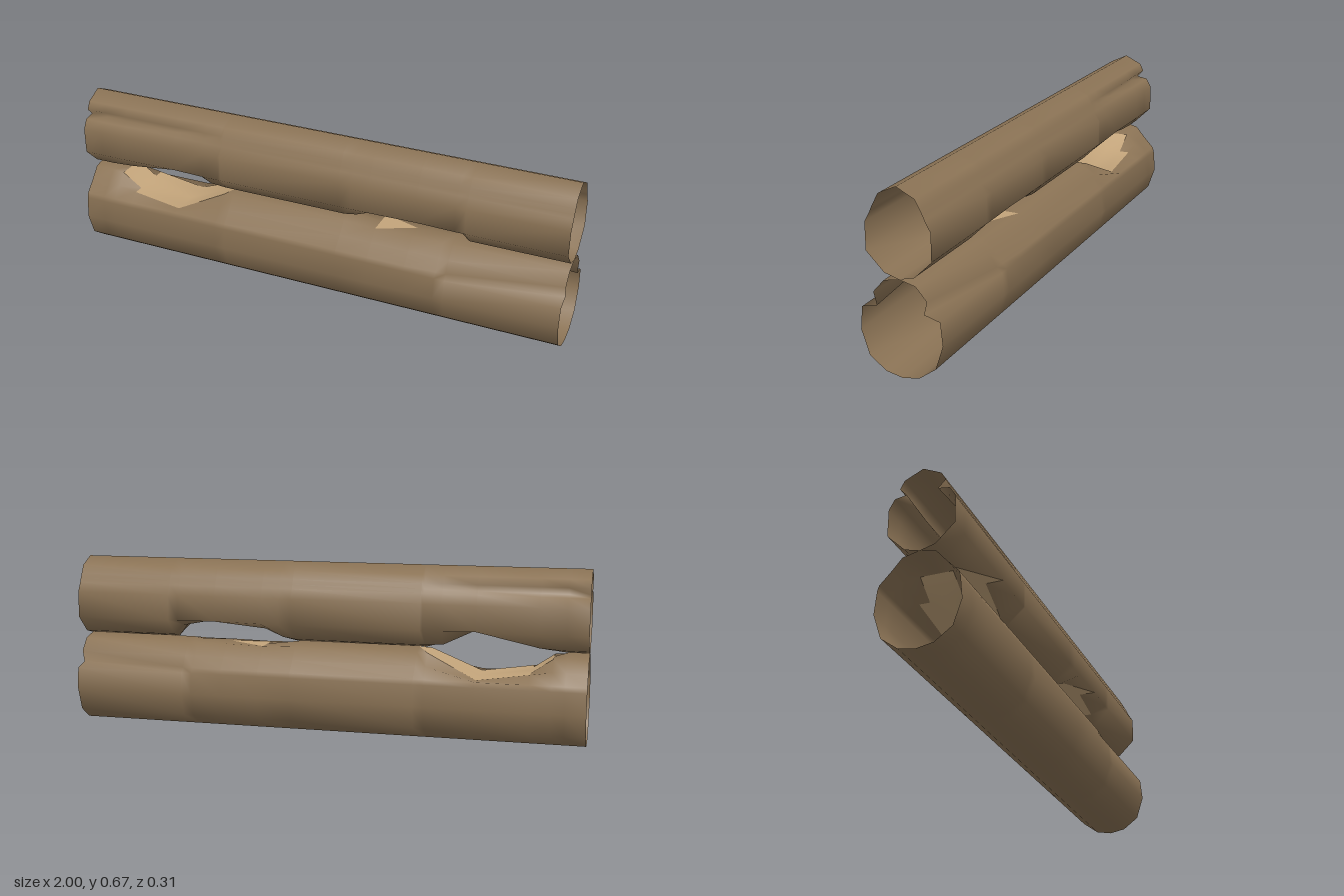
import * as THREE from 'three';

const bark = new THREE.MeshStandardMaterial({ color: 0x8b7355, side: THREE.DoubleSide });
bark.name = 'bark brown';
const wood = new THREE.MeshStandardMaterial({ color: 0xc4a57b, side: THREE.DoubleSide });
wood.name = 'bare wood tan';

// Linear interpolation through a list of [x, value] pairs
function along(pairs, x) {
  for (let i = 1; i < pairs.length; i++) {
    const [x0, v0] = pairs[i - 1], [x1, v1] = pairs[i];
    if (x <= x1) return v0 + (v1 - v0) * (x - x0) / (x1 - x0);
  }
  return pairs[pairs.length - 1][1];
}

function makePart(name, points, index, material) {
  const g = new THREE.BufferGeometry();
  g.setAttribute('position', new THREE.Float32BufferAttribute(points, 3));
  g.setIndex(index);
  g.computeVertexNormals();
  const mesh = new THREE.Mesh(g, material);
  mesh.name = name;
  return mesh;
}

// Hollow log: half section [z, y] from top to bottom, mirrored in z.
// The cut height flattens one side into notches; the fold pulls one point inward.
function makeLog(name, half, cut, cutsTop, fold) {
  const group = new THREE.Group();
  group.name = name;
  const mid = half.length - 1;
  const n = 2 * mid;
  const xs = [...new Set([...cut.map(c => c[0]), ...fold.amount.map(f => f[0])])].sort((a, b) => a - b);
  const points = [], onCut = [];
  for (const x of xs) {
    const c = along(cut, x), f = along(fold.amount, x);
    for (let j = 0; j < n; j++) {
      const k = j <= mid ? j : n - j;
      let [z, y] = half[k];
      if (k === fold.at) {
        z += (fold.to[0] - z) * f;
        y += (fold.to[1] - y) * f;
      }
      y = cutsTop ? Math.min(y, c) : Math.max(y, c);
      points.push(x, y, j <= mid ? z : -z);
      onCut.push(Math.abs(y - c) < 1e-4);
    }
  }
  const barkFaces = [], woodFaces = [];
  const add = (...t) => (t.every(v => onCut[v]) ? woodFaces : barkFaces).push(...t);
  for (let i = 0; i < xs.length - 1; i++) {
    for (let j = 0; j < n; j++) {
      const a = i * n + j, c = i * n + (j + 1) % n, b = a + n, d = c + n;
      // Mirror the diagonals so both sides match
      if (j < mid) { add(a, c, b); add(b, c, d); }
      else { add(a, c, d); add(a, d, b); }
    }
  }
  group.add(makePart(name + 'Bark', points, barkFaces, bark));
  group.add(makePart(name + 'Notches', points, woodFaces, wood));
  return group;
}

export function createModel() {
  const model = new THREE.Group();
  model.name = 'stackedLogs';

  // Upper log: notched underneath, folded at its right end
  model.add(makeLog('upperLog',
    [[0, 0.667], [0.067, 0.635], [0.083, 0.605], [0.093, 0.586], [0.1, 0.57],
      [0.121, 0.532], [0.121, 0.432], [0.055, 0.367], [0, 0.352]],
    [[-1, 0.352], [-0.92, 0.352], [-0.82, 0.373], [-0.59, 0.435], [-0.46, 0.372], [-0.39, 0.352],
      [0.12, 0.352], [0.17, 0.375], [0.24, 0.405], [0.43, 0.435], [0.58, 0.405], [0.62, 0.352], [1, 0.352]],
    false,
    { at: 3, to: [0.057, 0.577], amount: [[-1, 1], [-0.38, 0], [1, 0]] }));

  // Lower log: notched on top, folded at its left end
  model.add(makeLog('lowerLog',
    [[0, 0.352], [0.06, 0.338], [0.1, 0.292], [0.14, 0.25], [0.146, 0.23], [0.154, 0.147],
      [0.125, 0.058], [0.063, 0.012], [0, 0]],
    [[-1, 0.352], [-0.92, 0.352], [-0.87, 0.335], [-0.79, 0.28], [-0.59, 0.25], [-0.4, 0.338], [-0.36, 0.352],
      [0.12, 0.352], [0.25, 0.335], [0.52, 0.346], [0.56, 0.352], [1, 0.352]],
    true,
    { at: 3, to: [0.088, 0.245], amount: [[-1, 0], [0.4, 0], [1, 1]] }));

  return model;
}
